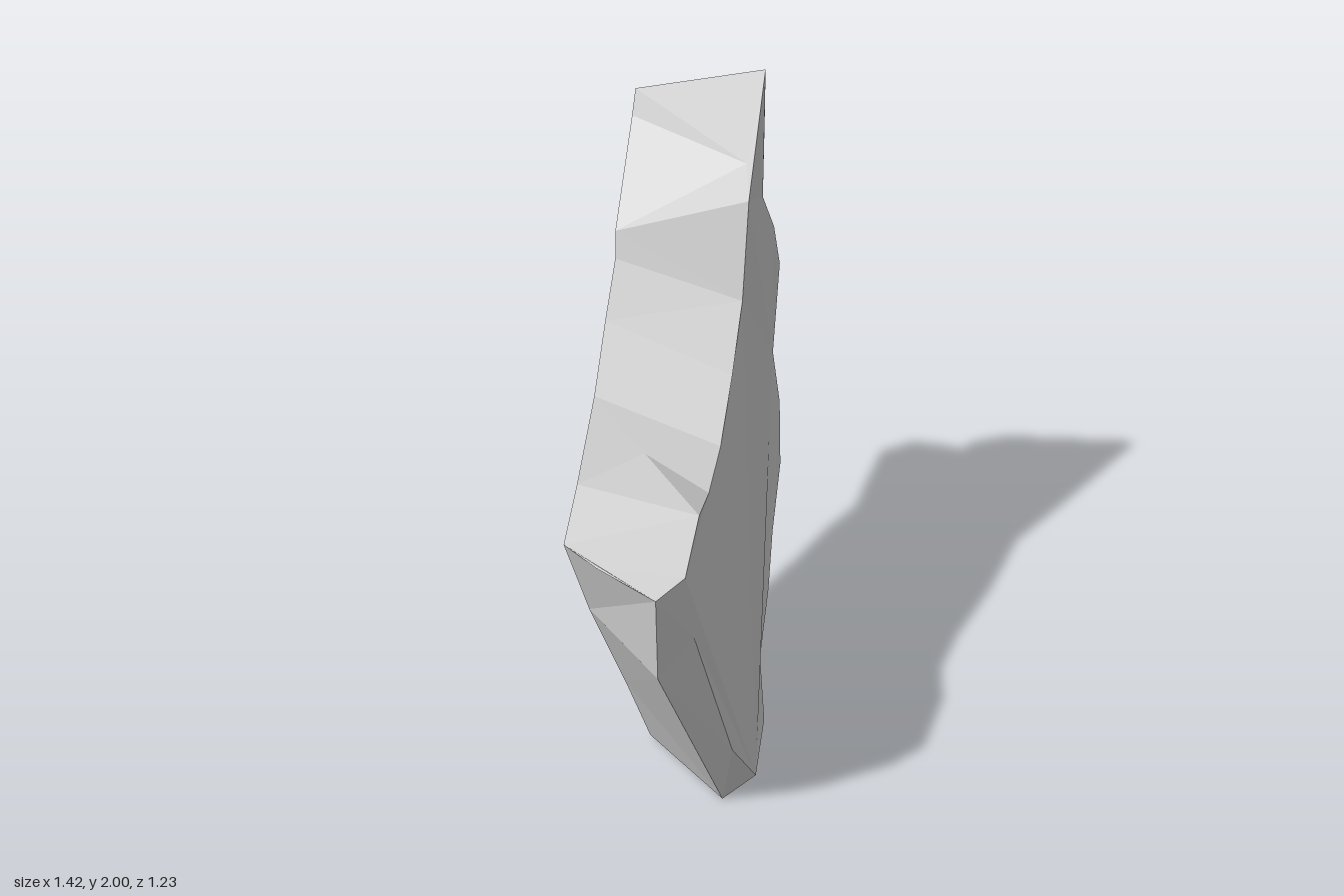
import * as THREE from 'three';

// Front face corners, counter-clockwise from the lowest corner
const frontBottom = [[-0.28, 0.07, 0.6], [-0.14, 0.155, 0.5], [-0.06, 0.31, 0.4], [0.1, 0.43, 0.28],
  [0.22, 0.55, 0.18], [0.4, 0.66, 0.04], [0.48, 0.83, -0.045], [0.505, 0.99, -0.105]];
const frontRight = [[0.71, 1.17, -0.275], [0.64, 1.36, -0.24], [0.53, 1.54, -0.19], [0.605, 1.75, -0.26], [0.525, 2, -0.185]];
const frontTop = [[0.38, 1.75, -0.12], [0.33, 1.66, -0.06], [0.215, 1.385, 0.03], [0.03, 1.26, 0.17],
  [-0.13, 1.13, 0.28], [-0.27, 1.075, 0.37], [-0.4, 1.11, 0.46], [-0.58, 1.05, 0.585]];
const frontLeft = [[-0.55, 0.81, 0.59], [-0.41, 0.28, 0.62]];

// Back face corners in the same order
const backBottom = [[-0.355, 0.02, 0.19], [-0.21, 0.07, 0.1], [-0.17, 0.12, 0.07], [-0.02, 0.25, -0.07],
  [0.07, 0.33, -0.15], [0.17, 0.64, -0.28], [0.24, 0.8, -0.36], [0.28, 0.97, -0.42]];
const backRight = [[0.43, 1.02, -0.53], [0.5, 1.1, -0.61], [0.49, 1.28, -0.61], [0.39, 1.4, -0.57],
  [0.32, 1.59, -0.52], [0.35, 1.65, -0.54], [0.315, 1.85, -0.525], [0.275, 1.905, -0.51]];
const backTop = [[0.24, 1.83, -0.49], [0.03, 1.555, -0.35], [0, 1.48, -0.32], [-0.13, 1.35, -0.23],
  [-0.31, 1.22, -0.09], [-0.55, 1.105, 0.09], [-0.715, 1.035, 0.21]];
const backLeft = [[-0.64, 0.755, 0.23], [-0.47, 0.335, 0.2]];

// Corners lying between the two faces
const endEdge = [[-0.69, 1.02, 0.575], [-0.67, 0.7, 0.56], [-0.38, 0, 0.55]];
const endTop = [-0.713, 1.025, 0.35];
const endBottom = [-0.34, 0.025, 0.34];
const notch = [-0.325, 1.135, 0.15];
const knuckle = [0.66, 1.16, -0.47];

const dist = (p, q) => Math.hypot(p[0] - q[0], p[1] - q[1], p[2] - q[2]);

// Join two edge chains, always taking the shorter diagonal
function bridge(a, b) {
  const out = [];
  let i = 0, j = 0;
  while (i < a.length - 1 || j < b.length - 1) {
    const stepA = j === b.length - 1 ||
      (i < a.length - 1 && dist(a[i + 1], b[j]) <= dist(a[i], b[j + 1]));
    out.push(a[i], b[j], stepA ? a[++i] : b[++j]);
  }
  return out;
}

// Fill a face outline
function cap(loop, flip) {
  const pts = loop.map(p => new THREE.Vector2(p[0], p[1]));
  return THREE.ShapeUtils.triangulateShape(pts, [])
    .flatMap(([a, b, c]) => (flip ? [a, c, b] : [a, b, c]).map(k => loop[k]));
}

function makeMesh(name, corners, material) {
  const geometry = new THREE.BufferGeometry();
  geometry.setAttribute('position', new THREE.Float32BufferAttribute(corners.flat(), 3));
  geometry.computeVertexNormals();
  const mesh = new THREE.Mesh(geometry, material);
  mesh.name = name;
  return mesh;
}

export function createModel() {
  const group = new THREE.Group();
  group.name = 'brokenSlab';
  const material = new THREE.MeshStandardMaterial({ color: 0xcccccc, flatShading: true });
  const add = (name, corners) => group.add(makeMesh(name, corners, material));

  // The two broad faces
  add('frontFace', cap([...frontBottom, ...frontRight, ...frontTop, ...frontLeft], false));
  add('backFace', cap([...backBottom, ...backRight, ...backTop, ...backLeft], true));

  // Ragged underside
  add('bottomEdge', [
    ...bridge(frontBottom.slice(0, 2), [endEdge[2], endBottom, ...backBottom.slice(0, 2)]),
    ...bridge(frontBottom.slice(1), backBottom.slice(1)),
  ]);

  // Right end with its projecting knuckle and the neck above it
  add('rightEdge', [
    ...bridge([frontBottom.at(-1), frontRight[0]], [backBottom.at(-1), ...backRight.slice(0, 2), knuckle]),
    knuckle, backRight[1], backRight[2],
    ...bridge(frontRight.slice(0, 3), [knuckle, ...backRight.slice(2, 5)]),
    ...bridge(frontRight.slice(2), backRight.slice(4)),
  ]);

  // Curved top with a small notch at the front
  add('topEdge', [
    ...bridge([frontRight.at(-1), ...frontTop.slice(0, 5), notch, ...frontTop.slice(6), endEdge[0]],
      [backRight.at(-1), ...backTop, endTop]),
    frontTop[4], notch, frontTop[5],
    frontTop[5], notch, frontTop[6],
  ]);

  // Left end and the bevel beside the front face
  add('leftBevel', bridge([frontTop.at(-1), ...frontLeft, frontBottom[0]], endEdge));
  add('leftEnd', bridge(endEdge, [endTop, backTop.at(-1), ...backLeft, backBottom[0], endBottom]));
  return group;
}
